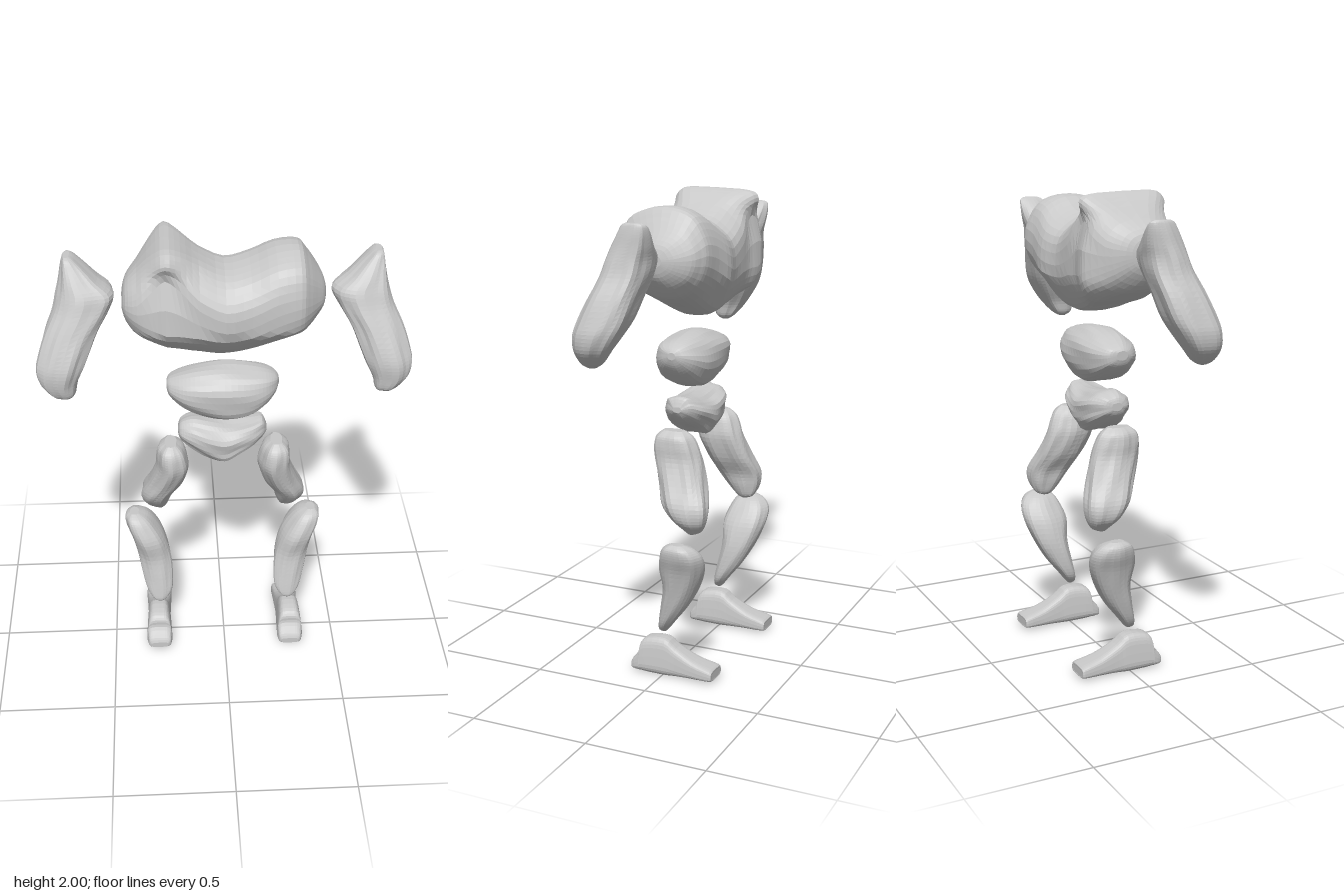
import * as THREE from 'three';

const stone = new THREE.MeshStandardMaterial({ color: 0xc8c8c8, flatShading: true });
stone.name = 'stone grey';

const cubic = (a, b, c, d, f) =>
  b + 0.5 * f * (c - a + f * (2 * a - 5 * b + 4 * c - d + f * (3 * (b - c) + d - a)));

// Loft of superellipse rings along an axis.
// Section: [t, u min, u max, v min, v max, roundness]; x axis: u,v = y,z; y axis: z,x; z axis: x,y
function loft(name, axis, sections, { segs = 28, steps = 4, bump = 0.03, n = 2.3, warp } = {}) {
  const rows = [];
  const at = (i) => sections[Math.max(0, Math.min(sections.length - 1, i))];
  for (let i = 0; i < sections.length - 1; i++) {
    for (let k = 0; k < steps; k++) {
      rows.push([0, 1, 2, 3, 4, 5].map((c) => {
        const q = [-1, 0, 1, 2].map((o) => at(i + o)[c] ?? n);
        const f = k / steps;
        return c === 5 ? q[1] + (q[2] - q[1]) * f : cubic(...q, f);
      }));
    }
  }
  rows.push([0, 1, 2, 3, 4, 5].map((c) => at(1e9)[c] ?? n));

  const pos = [], index = [];
  const put = (t, u, v) => {
    const p = axis === 'x' ? new THREE.Vector3(t, u, v)
      : axis === 'y' ? new THREE.Vector3(v, t, u) : new THREE.Vector3(u, v, t);
    if (warp) warp(p);
    pos.push(p.x, p.y, p.z);
  };
  const power = (c, e) => Math.sign(c) * Math.abs(c) ** (2 / e);
  const span = rows[rows.length - 1][0] - rows[0][0];
  rows.forEach(([t, u0, u1, v0, v1, e]) => {
    const w = (t - rows[0][0]) / span;
    for (let j = 0; j < segs; j++) {
      const a = (j / segs) * Math.PI * 2;
      // Long shallow grooves that drift along the part
      const r = 1 + bump * (Math.sin(5 * a + 4 * w) + 0.7 * Math.sin(8 * a - 7 * w + 1) - 0.4);
      put(t, (u0 + u1) / 2 + ((u1 - u0) / 2) * power(Math.cos(a), e) * r,
        (v0 + v1) / 2 + ((v1 - v0) / 2) * power(Math.sin(a), e) * r);
    }
  });
  for (let i = 0; i < rows.length - 1; i++) {
    for (let j = 0; j < segs; j++) {
      const k = (j + 1) % segs;
      const a = i * segs + j, b = i * segs + k, c = b + segs, d = a + segs;
      index.push(a, b, c, a, c, d);
    }
  }
  // End caps
  [0, rows.length - 1].forEach((i) => {
    const [t, u0, u1, v0, v1] = rows[i];
    const centre = pos.length / 3;
    put(t, (u0 + u1) / 2, (v0 + v1) / 2);
    for (let j = 0; j < segs; j++) {
      const a = i * segs + j, b = i * segs + ((j + 1) % segs);
      if (i) index.push(centre, a, b);
      else index.push(centre, b, a);
    }
  });
  const geo = new THREE.BufferGeometry();
  geo.setAttribute('position', new THREE.Float32BufferAttribute(pos, 3));
  geo.setIndex(index);
  geo.computeVertexNormals();
  const mesh = new THREE.Mesh(geo, stone);
  mesh.name = name;
  return mesh;
}

// Limb sections for the +x side: [y, z min, z max, x min, x max]
const ARM = [
  [1.37, 0.12, 0.15, 0.62, 0.66], [1.39, 0.09, 0.178, 0.6, 0.69], [1.44, 0.05, 0.192, 0.588, 0.735],
  [1.5, 0.01, 0.196, 0.56, 0.748], [1.56, -0.022, 0.182, 0.535, 0.735], [1.64, -0.045, 0.152, 0.5, 0.708],
  [1.72, -0.065, 0.12, 0.45, 0.672], [1.78, -0.072, 0.1, 0.43, 0.655], [1.83, -0.08, 0.075, 0.49, 0.643],
  [1.88, -0.083, 0.045, 0.545, 0.635], [1.91, -0.078, 0.025, 0.58, 0.628], [1.92, -0.06, 0.005, 0.598, 0.622],
];
const THIGH = [
  [0.63, -0.13, -0.1, 0.27, 0.3], [0.645, -0.16, -0.08, 0.25, 0.315], [0.69, -0.183, -0.035, 0.235, 0.353],
  [0.75, -0.187, 0.01, 0.22, 0.357], [0.83, -0.16, 0.045, 0.175, 0.322], [0.92, -0.13, 0.077, 0.15, 0.29],
  [0.98, -0.11, 0.082, 0.157, 0.285], [1.02, -0.09, 0.07, 0.172, 0.277], [1.045, -0.06, 0.04, 0.2, 0.25],
];
const SHIN = [
  [0.185, 0, 0.02, 0.28, 0.3], [0.2, -0.015, 0.03, 0.26, 0.322], [0.24, -0.045, 0.025, 0.235, 0.347],
  [0.31, -0.1, 0.012, 0.23, 0.366], [0.4, -0.153, -0.003, 0.238, 0.385], [0.49, -0.19, 0.005, 0.263, 0.408],
  [0.555, -0.195, -0.012, 0.3, 0.432], [0.595, -0.17, -0.035, 0.335, 0.435], [0.615, -0.13, -0.07, 0.375, 0.415],
];
// Foot sections along z: [z, x min, x max, y min, y max]
const FOOT = [
  [-0.23, 0.255, 0.34, 0.02, 0.05], [-0.222, 0.242, 0.353, 0.012, 0.063], [-0.14, 0.245, 0.35, 0.008, 0.086],
  [-0.06, 0.248, 0.348, 0.003, 0.127], [-0.01, 0.246, 0.352, 0, 0.163], [0.07, 0.243, 0.355, 0.002, 0.158],
  [0.1, 0.243, 0.355, 0.005, 0.135], [0.105, 0.243, 0.355, 0.006, 0.1], [0.135, 0.25, 0.347, 0.009, 0.06],
  [0.145, 0.262, 0.335, 0.014, 0.04],
];

export function createModel() {
  const model = new THREE.Group();
  model.name = 'stoneFigure';

  // Chest with a flared crest on one shoulder and a rounded hump on the other
  model.add(loft('chest', 'x', [
    [-0.4, 1.73, 1.8, 0, 0.11, 2], [-0.385, 1.68, 1.85, -0.06, 0.15, 2.2], [-0.34, 1.62, 1.9, -0.13, 0.185, 2.6],
    [-0.28, 1.585, 1.965, -0.19, 0.2, 4], [-0.23, 1.56, 2.0, -0.195, 0.2, 5], [-0.17, 1.54, 1.98, -0.18, 0.205, 4],
    [-0.1, 1.51, 1.935, -0.18, 0.215, 2.8], [0, 1.49, 1.89, -0.185, 0.228, 2.5], [0.1, 1.505, 1.905, -0.205, 0.215, 2.5],
    [0.2, 1.55, 1.95, -0.195, 0.208, 2.5], [0.29, 1.59, 1.955, -0.19, 0.195, 2.4], [0.325, 1.615, 1.92, -0.175, 0.165, 2.3],
    [0.36, 1.65, 1.87, -0.15, 0.12, 2.2], [0.39, 1.69, 1.82, -0.09, 0.075, 2], [0.402, 1.73, 1.78, -0.04, 0.03, 2],
  ], {
    segs: 36, steps: 3, bump: 0.012,
    warp(p) {
      // Underside narrows towards the back
      if (p.y < 1.66) p.z = -0.08 + (p.z + 0.08) * (1 - 2.5 * (1.66 - p.y));
      // Crest: narrow neck below, wide corners on top
      const crest = Math.exp(-(((p.x + 0.23) / 0.09) ** 2));
      const { smoothstep } = THREE.MathUtils;
      p.z *= 1 + crest * (0.35 * smoothstep(p.y, 1.89, 2) - 0.18 * smoothstep(p.y, 1.74, 1.9));
    },
  }));

  // Belly and pelvis boulders
  model.add(loft('belly', 'x', [
    [-0.235, 1.32, 1.36, -0.02, 0.03], [-0.22, 1.29, 1.375, -0.06, 0.06], [-0.17, 1.25, 1.397, -0.09, 0.1],
    [-0.1, 1.215, 1.417, -0.107, 0.122], [0, 1.19, 1.43, -0.112, 0.13], [0.1, 1.205, 1.42, -0.107, 0.122],
    [0.17, 1.255, 1.405, -0.085, 0.1], [0.21, 1.3, 1.385, -0.05, 0.06], [0.226, 1.335, 1.365, -0.015, 0.02],
  ], { bump: 0.022 }));
  model.add(loft('pelvis', 'x', [
    [-0.192, 1.1, 1.135, -0.02, 0.03], [-0.178, 1.075, 1.16, -0.055, 0.06], [-0.13, 1.035, 1.177, -0.09, 0.09],
    [-0.07, 1, 1.17, -0.105, 0.11], [0, 0.978, 1.16, -0.107, 0.115], [0.06, 1.015, 1.158, -0.1, 0.105],
    [0.12, 1.05, 1.165, -0.085, 0.085], [0.16, 1.08, 1.168, -0.055, 0.055], [0.18, 1.105, 1.13, -0.02, 0.02],
  ], { bump: 0.04 }));

  // Mirrored limbs
  [['left', 1], ['right', -1]].forEach(([side, s]) => {
    const mirrorY = (list) => list.map(([t, u0, u1, v0, v1]) => (s > 0 ? [t, u0, u1, v0, v1] : [t, u0, u1, -v1, -v0]));
    const mirrorZ = (list) => list.map(([t, u0, u1, v0, v1]) => (s > 0 ? [t, u0, u1, v0, v1] : [t, -u1, -u0, v0, v1]));
    model.add(
      loft(side + 'Arm', 'y', mirrorY(ARM), { bump: 0.035, n: 2.5 }),
      loft(side + 'Thigh', 'y', mirrorY(THIGH), { bump: 0.04 }),
      loft(side + 'Shin', 'y', mirrorY(SHIN), { bump: 0.025 }),
      loft(side + 'Foot', 'z', mirrorZ(FOOT), {
        bump: 0, n: 4, steps: 3,
        // Narrow the top of the foot
        warp(p) { p.x = s * 0.298 + (p.x - s * 0.298) * (1.05 - 1.8 * Math.max(0, p.y - 0.03)); },
      }),
    );
  });
  return model;
}
